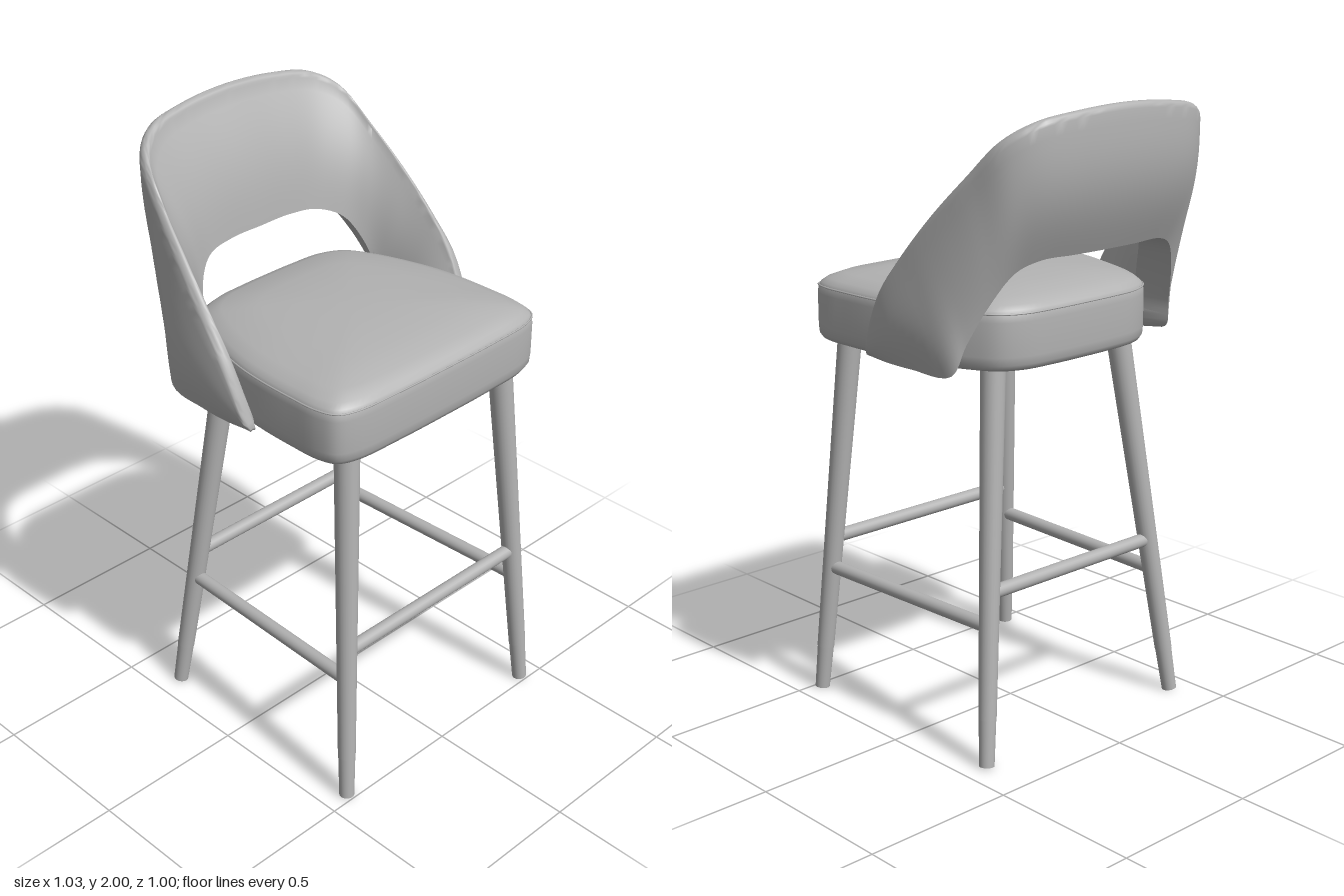
import * as THREE from 'three';
import { toCreasedNormals, mergeVertices } from 'three/addons/utils/BufferGeometryUtils.js';

const V = (x, y, z) => new THREE.Vector3(x, y, z);
const grey = new THREE.MeshStandardMaterial({ color: 0xb2b2b2 });
grey.name = 'grey';

function add(group, name, geometry) {
  const mesh = new THREE.Mesh(geometry, grey);
  mesh.name = name;
  group.add(mesh);
  return mesh;
}

// Skin a list of closed rings; faces are turned outward by the sign of the volume.
function loft(rings, crease) {
  const n = rings[0].length, pos = [], index = [];
  rings.forEach(r => r.forEach(p => pos.push(p.x, p.y, p.z)));
  let volume = 0;
  const tri = (a, b, c) => {
    index.push(a, b, c);
    const [p, q, r] = [a, b, c].map(i => rings[Math.floor(i / n)][i % n]);
    volume += p.dot(q.clone().cross(r));
  };
  for (let i = 0; i < rings.length - 1; i++) for (let j = 0; j < n; j++) {
    const k = (j + 1) % n, a = i * n + j, b = i * n + k, c = a + n, d = b + n;
    tri(a, b, c);
    tri(b, d, c);
  }
  if (volume < 0) index.reverse();
  let g = new THREE.BufferGeometry();
  g.setAttribute('position', new THREE.Float32BufferAttribute(pos, 3));
  g.setIndex(index);
  g = mergeVertices(g, 1e-5);
  return toCreasedNormals(g, crease);
}

// Round rod between two points
function rod(group, name, a, b, ra, rb) {
  const d = b.clone().sub(a);
  const mesh = add(group, name, new THREE.CylinderGeometry(rb, ra, d.length(), 24));
  mesh.position.copy(a).lerp(b, 0.5);
  mesh.quaternion.setFromUnitVectors(V(0, 1, 0), d.normalize());
}

// Half outlines are mirrored in x
const mirrorHalf = half => [...half.slice(1).reverse().map(p => V(-p.x, p.y, p.z)), ...half];

function buildSeat(group) {
  const half = [[0, -.332], [.12, -.33], [.23, -.32], [.31, -.28], [.36, -.2], [.405, -.08], [.435, .04],
    [.447, .15], [.45, .27], [.447, .37], [.425, .43], [.365, .458], [.2, .468]].map(([x, z]) => V(x, 0, z));
  const outline = new THREE.CatmullRomCurve3([...mirrorHalf(half), V(0, 0, .47)], true).getPoints(120).slice(0, -1);
  const ring = (s, y) => outline.map(p => V(p.x * s, y, .07 + (p.z - .07) * s));
  const profile = [[0, 1.212], [.93, 1.212], [.975, 1.22], [.995, 1.235], [1, 1.26], [1, 1.365], [.995, 1.388],
    [.98, 1.4], [.945, 1.413], [.85, 1.43], [.6, 1.447], [.3, 1.455], [0, 1.457]];
  add(group, 'seatCushion', loft(profile.map(([s, y]) => ring(s, y)), 0.9));
  // Piping around the cushion
  const seam = new THREE.CatmullRomCurve3(ring(.995, 1.39), true);
  add(group, 'seatPiping', new THREE.TubeGeometry(seam, 160, .003, 6, true));
}

function buildBack(group) {
  // Crest, lower outer edge and lower inner edge from the rear centre to the front tip
  const crest = [[0, 2, -.48], [.18, 1.99, -.472], [.32, 1.967, -.445], [.4, 1.915, -.388], [.437, 1.81, -.288],
    [.463, 1.69, -.168], [.48, 1.57, -.06], [.487, 1.45, .035], [.481, 1.34, .09], [.468, 1.235, .13]];
  const outer = [[0, 1.562, -.41], [.13, 1.562, -.406], [.25, 1.56, -.393], [.325, 1.53, -.367], [.385, 1.44, -.325],
    [.432, 1.32, -.275], [.46, 1.225, -.24], [.48, 1.22, -.08], [.48, 1.22, .03], [.468, 1.22, .115]];
  const inner = [[0, 1.575, -.33], [.12, 1.575, -.328], [.225, 1.565, -.31], [.298, 1.53, -.265], [.345, 1.44, -.215],
    [.372, 1.33, -.18], [.385, 1.23, -.16], [.4, 1.225, -.05], [.42, 1.225, .04], [.445, 1.22, .115]];
  const [ct, co, ci] = [crest, outer, inner].map(l => new THREE.CatmullRomCurve3(mirrorHalf(l.map(p => V(...p)))));
  const columns = 108, steps = 12, arc = 8, rings = [];
  for (let i = 0; i <= columns; i++) {
    const u = i / columns, T = ct.getPoint(u), B = co.getPoint(u), I = ci.getPoint(u);
    const n = B.clone().sub(I).setY(0).normalize();
    const h = T.y - B.y, rim = Math.min(.02, h * .3 + .004);
    // Points on the rounded crest, from outside (0) to inside (1)
    const round = t => {
      const a = Math.PI * t;
      return T.clone().addScaledVector(n, rim * Math.cos(a)).add(V(0, rim * (Math.sin(a) - 1), 0));
    };
    const ring = [];
    for (let k = 0; k < steps; k++) {
      const t = k / steps;
      ring.push(B.clone().lerp(round(0), t).addScaledVector(n, h * .085 * Math.sin(Math.PI * t)));
    }
    for (let k = 0; k <= arc; k++) ring.push(round(k / arc));
    // Padded inside face
    for (let k = steps - 1; k >= 0; k--) {
      const t = k / steps;
      ring.push(I.clone().lerp(round(1), t).addScaledVector(n, -h * .06 * Math.sin(Math.PI * t)));
    }
    rings.push(ring);
  }
  // Close both tips
  const close = ring => {
    const c = ring.reduce((s, p) => s.add(p), V(0, 0, 0)).divideScalar(ring.length);
    return ring.map(() => c.clone());
  };
  rings.unshift(close(rings[0]));
  rings.push(close(rings[rings.length - 1]));
  add(group, 'backrestShell', loft(rings, 1.1));
}

function buildLegs(group) {
  const legs = {
    front: { top: V(.335, 1.23, .385), foot: V(.42, 0, .475) },
    rear: { top: V(.268, 1.23, -.21), foot: V(.415, 0, -.335) },
  };
  const at = (leg, y, side) => {
    const p = leg.foot.clone().lerp(leg.top, y / leg.top.y);
    p.x *= side;
    return p;
  };
  for (const side of [-1, 1]) {
    for (const [key, leg] of Object.entries(legs)) {
      rod(group, key + 'Leg', at(leg, .15, side), at(leg, 1.23, side), .028, .039);
      rod(group, key + 'LegTip', at(leg, .003, side), at(leg, .152, side), .024, .027);
    }
    // Side stretchers
    rod(group, 'sideStretcher', at(legs.front, .433, side), at(legs.rear, .433, side), .022, .022);
  }
  // Front and rear stretchers
  for (const [key, leg] of Object.entries(legs))
    rod(group, key + 'Stretcher', at(leg, .535, -1), at(leg, .535, 1), .022, .022);
}

export function createModel() {
  const model = new THREE.Group();
  model.name = 'barStool';
  buildSeat(model);
  buildBack(model);
  buildLegs(model);
  return model;
}
